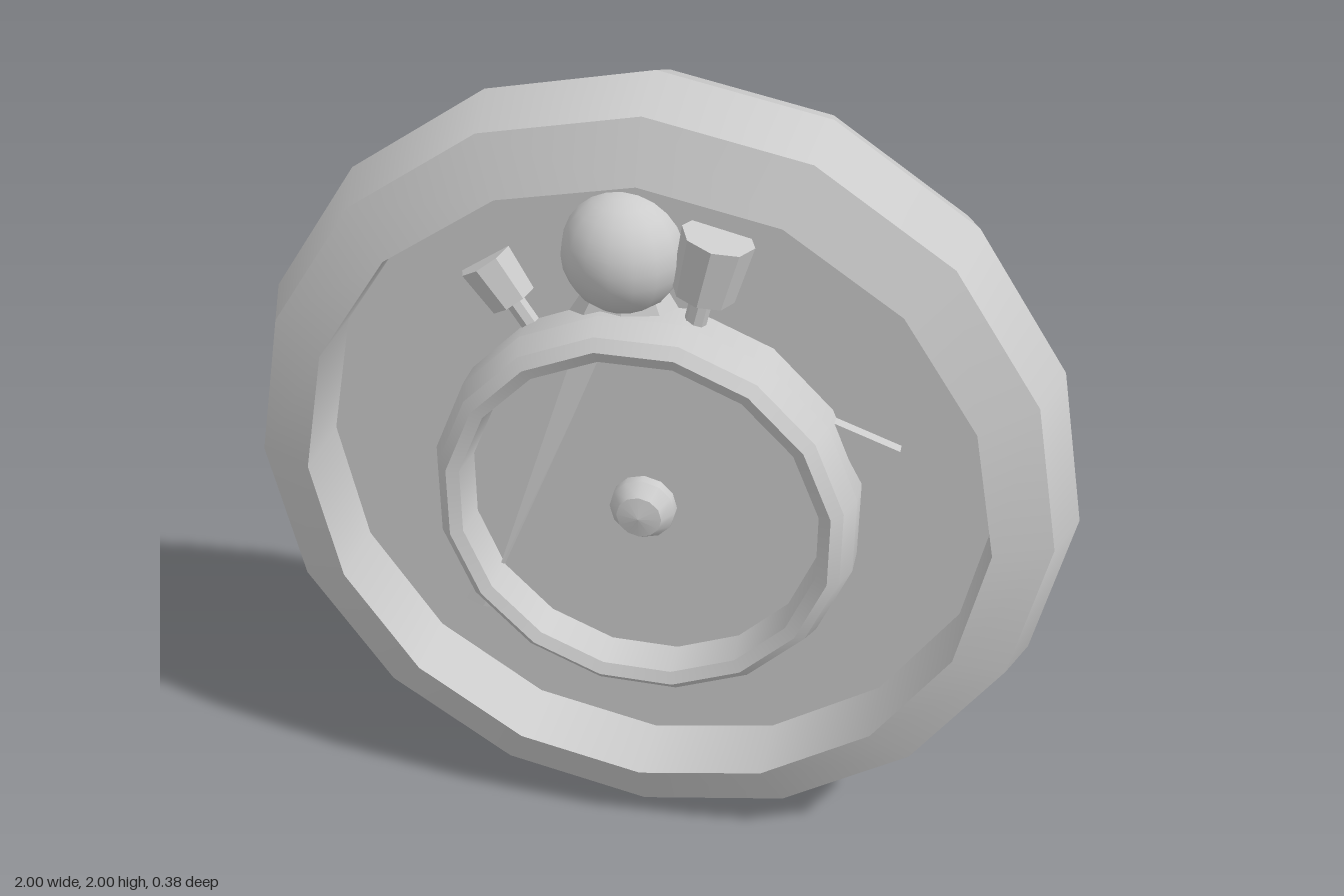
import * as THREE from 'three';
import { mergeGeometries } from 'three/addons/utils/BufferGeometryUtils.js';
import { ConvexGeometry } from 'three/addons/geometries/ConvexGeometry.js';

export function createModel() {
  const group = new THREE.Group();
  const grey = new THREE.MeshStandardMaterial({ color: 0xcccccc });
  grey.name = 'plain grey';

  const add = (name, geometry, x = 0, y = 0, z = 0) => {
    const mesh = new THREE.Mesh(geometry, grey);
    mesh.name = name;
    mesh.position.set(x, y, z);
    group.add(mesh);
    return mesh;
  };

  // Turned part around the z axis: [radius, z] points, creased between bands
  const turned = (profile, sides, turn = 0) => {
    const bands = profile.slice(1).map((p, i) =>
      new THREE.LatheGeometry([new THREE.Vector2(...profile[i]), new THREE.Vector2(...p)], sides));
    return mergeGeometries(bands).rotateX(Math.PI / 2).rotateZ(turn);
  };

  // Outer rim and the thin panel it holds
  add('rim', turned([
    [0.815, -0.19], [0.95, -0.135], [1, 0], [0.95, 0.135],
    [0.815, 0.19], [0.815, -0.19],
  ], 16), 0, 1);
  add('panel', new THREE.CylinderGeometry(0.815, 0.815, 0.006, 16).rotateX(Math.PI / 2), 0, 1);

  // Bevelled case ring, standing out on both sides of the panel, and its dial
  const cx = -0.015, cy = 0.93;
  add('caseRing', turned([
    [0.52, -0.08], [0.52, 0.08], [0.497, 0.14], [0.47, 0.163], [0.44, 0.15],
    [0.43, 0.05], [0.43, -0.05], [0.44, -0.15], [0.47, -0.163], [0.497, -0.14], [0.52, -0.08],
  ], 16, Math.PI / 16), cx, cy);
  add('dial', new THREE.CylinderGeometry(0.434, 0.434, 0.12, 16)
    .rotateX(Math.PI / 2).rotateZ(Math.PI / 16), cx, cy);

  // Centre knob
  add('centreKnob', turned([
    [0, -0.13], [0.055, -0.12], [0.08, -0.085], [0.08, 0.085], [0.055, 0.12], [0, 0.13],
  ], 12), cx, cy);

  // Ball on its tapered neck
  add('ball', new THREE.SphereGeometry(0.143, 16, 12), -0.075, 1.57);
  const neck = new THREE.CylinderGeometry(0.09, 0.15, 0.1, 8).toNonIndexed();
  neck.computeVertexNormals();
  neck.scale(1, 1, 0.6);
  add('neck', neck, -0.065, 1.44);

  // Flared buttons on stems, pointing away from the case
  const button = (name, angle, distance, radius, length, z) => {
    const cup = new THREE.CylinderGeometry(radius, radius * 0.87, length, 8)
      .translate(0, distance + length / 2, 0);
    const stem = new THREE.CylinderGeometry(0.026, 0.026, distance - 0.45, 8)
      .translate(0, (distance + 0.45) / 2, 0);
    const geometry = mergeGeometries([cup, stem]).toNonIndexed();
    geometry.computeVertexNormals();
    add(name, geometry, cx, cy, z).rotation.z = angle;
  };
  button('leftButton', -0.225, 0.59, 0.084, 0.145, 0.04);
  button('rightButton', 0.585, 0.585, 0.07, 0.115, 0);

  // Small pointer on the side of the case
  const pointer = new THREE.Shape([
    new THREE.Vector2(0.41, 1.205), new THREE.Vector2(0.5, 1.04), new THREE.Vector2(0.58, 1.145),
  ]);
  add('sidePointer', new THREE.ExtrudeGeometry(pointer, { depth: 0.06, bevelEnabled: false }), 0, 0, -0.03);

  // Slanting hand and its foot, the same on both faces: [x, y, z]
  const hull = (name, points) => add(name, new ConvexGeometry(
    points.flatMap(([x, y, z]) => [new THREE.Vector3(x, y, z), new THREE.Vector3(x, y, -z)])));
  hull('slantingHand', [[-0.16, 1.38, 0.105], [-0.09, 1.38, 0.055], [-0.395, 0.66, 0.07], [-0.385, 0.66, 0.055]]);
  hull('handFoot', [
    [-0.49, 0.55, 0.04], [-0.445, 0.535, 0.045], [-0.4, 0.52, 0.015],
    [-0.44, 0.66, 0.04], [-0.395, 0.645, 0.045], [-0.35, 0.63, 0.015],
  ]);

  return group;
}
